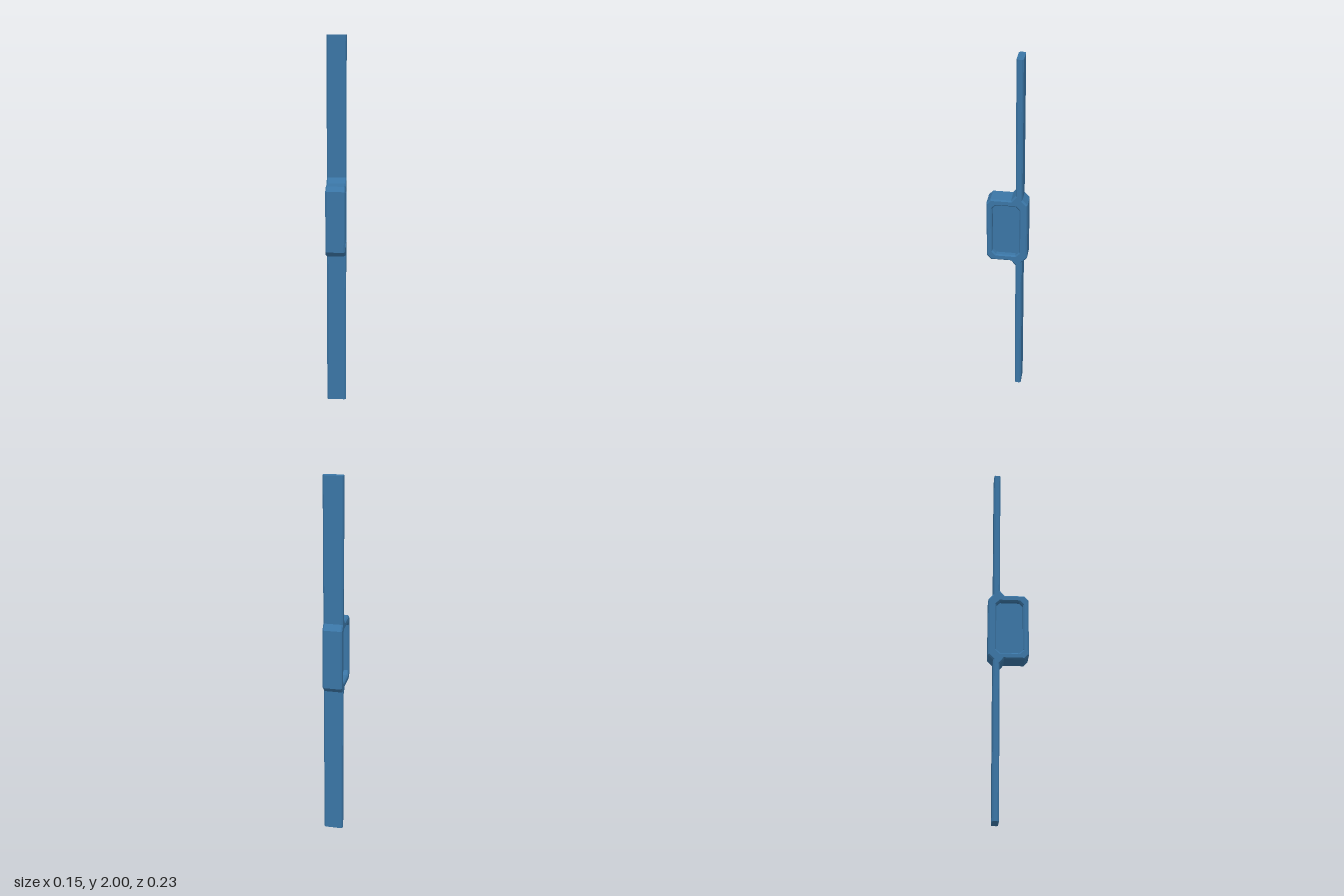
import * as THREE from 'three';

const MID = 1.042;    // height of the grip centre
const WIDTH = 0.104;  // thickness of the whole handle, side to side
const BEVEL = 0.007;

export function createModel() {
  const model = new THREE.Group();
  model.name = 'handle';
  const material = new THREE.MeshStandardMaterial({ color: 0x3a75a5, flatShading: true });

  // Upper half of the outline as [depth, height]: box front, fillet, bar, back
  const top = [
    [0.108, 1.203], [0.086, 1.228], [-0.022, 1.228], [-0.046, 1.257], [-0.046, 2 + BEVEL],
    [-0.081, 2 + BEVEL], [-0.081, 1.234], [-0.108, 1.205],
  ];
  const bottom = top.map(([v, y]) => [v, y > 2 ? -BEVEL : 2 * MID - y]).reverse();
  const toPoints = (list) => list.map(([v, y]) => new THREE.Vector2(-v, y));
  const outline = new THREE.Shape(toPoints([...top, ...bottom]));

  // Window with clipped corners, wound against the outline
  const c = 0.02, v0 = -0.065, v1 = 0.078, h = 0.151;
  outline.holes.push(new THREE.Path(toPoints([
    [v0, MID - h + c], [v0, MID + h - c], [v0 + c, MID + h], [v1 - c, MID + h],
    [v1, MID + h - c], [v1, MID - h + c], [v1 - c, MID - h], [v0 + c, MID - h],
  ])));

  const bodyGeo = new THREE.ExtrudeGeometry(outline, {
    depth: WIDTH - 2 * BEVEL, bevelEnabled: true, bevelSegments: 1,
    bevelSize: BEVEL, bevelThickness: BEVEL, bevelOffset: -BEVEL,
  });
  bodyGeo.translate(0, 0, -WIDTH / 2 + BEVEL);
  bodyGeo.rotateY(Math.PI / 2);
  // Square off the bar ends
  const pos = bodyGeo.attributes.position;
  for (let i = 0; i < pos.count; i++) {
    const y = pos.getY(i);
    pos.setY(i, y > 1.9 ? 2 : y < 0.1 ? 0 : y);
  }
  bodyGeo.computeVertexNormals();
  const body = new THREE.Mesh(bodyGeo, material);
  body.name = 'barAndFrame';
  model.add(body);

  // Recessed panel filling the window
  const panel = new THREE.Mesh(new THREE.BoxGeometry(0.048, 2 * h + 0.01, v1 - v0 + 0.01), material);
  panel.position.set(0, MID, (v0 + v1) / 2);
  panel.name = 'recessedPanel';
  model.add(panel);

  model.rotation.y = 0.238;
  return model;
}
